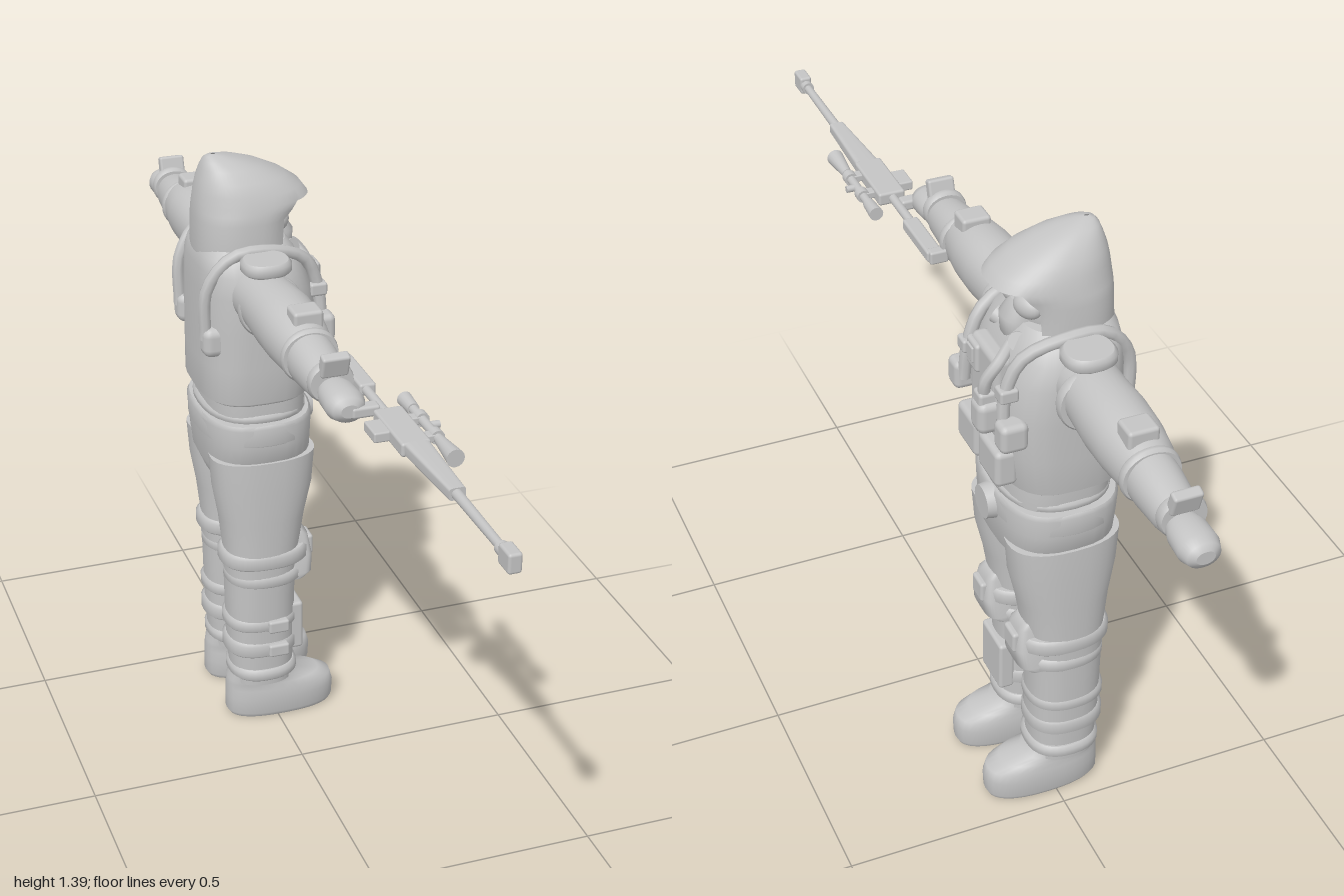
import * as THREE from 'three';
import { RoundedBoxGeometry } from 'three/addons/geometries/RoundedBoxGeometry.js';

const grey = new THREE.MeshStandardMaterial({ color: 0xc4c4c4, side: THREE.DoubleSide });
grey.name = 'light grey';

function add(parent, name, geometry, x = 0, y = 0, z = 0) {
  const mesh = new THREE.Mesh(geometry, grey);
  mesh.name = name;
  mesh.position.set(x, y, z);
  parent.add(mesh);
  return mesh;
}

// Skin over rings [height, xMin, xMax, zCentre, zHalfWidth]; hole(angle, height) leaves cells open
function loft(parent, name, rings, { power = 2.4, caps = true, hole = null, n = 32 } = {}) {
  const pos = [], index = [];
  const pt = (r, j) => {
    const a = (j / n) * Math.PI * 2, c = Math.cos(a), s = Math.sin(a), e = 2 / power;
    pos.push((r[1] + r[2]) / 2 + (r[2] - r[1]) / 2 * Math.sign(c) * Math.abs(c) ** e, r[0],
      r[3] + r[4] * Math.sign(s) * Math.abs(s) ** e);
  };
  for (const r of rings) for (let j = 0; j < n; j++) pt(r, j);
  for (let i = 0; i < rings.length - 1; i++) for (let j = 0; j < n; j++) {
    const mid = ((j + 0.5) / n) * Math.PI * 2;
    if (hole && hole(Math.min(mid, Math.PI * 2 - mid), rings[i][0])) continue;
    const a = i * n + j, b = i * n + (j + 1) % n;
    index.push(a, a + n, b, b, a + n, b + n);
  }
  if (caps) for (const [r, top] of [[rings[0], false], [rings.at(-1), true]]) {
    const base = pos.length / 3;
    for (let j = 0; j < n; j++) pt(r, j);
    pos.push((r[1] + r[2]) / 2, r[0], r[3]);
    for (let j = 0; j < n; j++) {
      const p = base + j, q = base + (j + 1) % n;
      index.push(base + n, top ? q : p, top ? p : q);
    }
  }
  const g = new THREE.BufferGeometry();
  g.setAttribute('position', new THREE.Float32BufferAttribute(pos, 3));
  g.setIndex(index);
  g.computeVertexNormals();
  return add(parent, name, g);
}

// Rounded strap around a limb or the body
function band(parent, name, y0, y1, x0, x1, cz, rz) {
  const b = 0.007;
  return loft(parent, name, [[y0, x0 + b, x1 - b, cz, rz - b], [y0 + b, x0, x1, cz, rz],
    [y1 - b, x0, x1, cz, rz], [y1, x0 + b, x1 - b, cz, rz - b]]);
}

function box(parent, name, x0, x1, y0, y1, z0, z1, r = 0.01) {
  const w = x1 - x0, h = y1 - y0, d = z1 - z0;
  return add(parent, name, new RoundedBoxGeometry(w, h, d, 2, Math.min(r, w / 2.1, h / 2.1, d / 2.1)),
    (x0 + x1) / 2, (y0 + y1) / 2, (z0 + z1) / 2);
}

function tube(parent, name, points, r) {
  const curve = new THREE.CatmullRomCurve3(points.map(p => new THREE.Vector3(...p)));
  return add(parent, name, new THREE.TubeGeometry(curve, 20, r, 8));
}

// Cylinder lying along z
function rod(parent, name, x, y, z0, z1, r0, r1 = r0) {
  const m = add(parent, name, new THREE.CylinderGeometry(r1, r0, z1 - z0, 16), x, y, (z0 + z1) / 2);
  m.rotation.x = Math.PI / 2;
  return m;
}

function ball(parent, name, x, y, z, rx, ry, rz) {
  const m = add(parent, name, new THREE.SphereGeometry(1, 24, 16), x, y, z);
  m.scale.set(rx, ry, rz);
  return m;
}

function addHead(body) {
  const opening = (a, y) => a < 0.86 && y < 1.285;
  loft(body, 'hood', [[1.13, -0.14, 0.07, 0, 0.108], [1.19, -0.145, 0.07, 0, 0.108], [1.25, -0.143, 0.075, 0, 0.104],
    [1.27, -0.142, 0.098, 0, 0.101], [1.288, -0.14, 0.114, 0, 0.096], [1.31, -0.137, 0.098, 0, 0.089],
    [1.335, -0.132, 0.062, 0, 0.076], [1.36, -0.124, 0.01, 0, 0.055], [1.375, -0.118, -0.035, 0, 0.036],
    [1.384, -0.11, -0.07, 0, 0.016], [1.387, -0.1, -0.09, 0, 0.003]], { hole: opening, caps: false, n: 48 });
  ball(body, 'face', -0.03, 1.22, 0, 0.082, 0.1, 0.08);
  loft(body, 'mask', [[1.13, 0, 0.055, 0, 0.03], [1.16, 0, 0.08, 0, 0.04], [1.2, 0, 0.083, 0, 0.04], [1.235, 0, 0.06, 0, 0.03]]);
  for (const s of [-1, 1]) {
    const eye = ball(body, 'goggle', 0.042, 1.235, s * 0.037, 0.022, 0.026, 0.034);
    eye.rotation.y = -s * 0.4;
    const filter = add(body, 'maskFilter', new THREE.CylinderGeometry(0.02, 0.02, 0.03, 20), 0.062, 1.165, s * 0.045);
    filter.rotation.set(s * 1.1, 0, -0.6);
  }
}

function addTorso(body) {
  loft(body, 'torso', [[0.84, -0.14, 0.09, 0, 0.145], [0.85, -0.152, 0.1, 0, 0.157], [0.93, -0.152, 0.112, 0, 0.157],
    [1.02, -0.152, 0.118, 0, 0.16], [1.1, -0.15, 0.105, 0, 0.158], [1.15, -0.148, 0.085, 0, 0.15],
    [1.18, -0.142, 0.07, 0, 0.13], [1.2, -0.13, 0.055, 0, 0.1]], { power: 3 });
  loft(body, 'waist', [[0.77, -0.13, 0.09, 0, 0.14], [0.8, -0.135, 0.095, 0, 0.143], [0.85, -0.135, 0.092, 0, 0.143]], { power: 2.8 });
  band(body, 'waistBelt', 0.79, 0.815, -0.142, 0.1, 0, 0.148);
  loft(body, 'hips', [[0.63, -0.125, 0.075, 0, 0.1], [0.67, -0.142, 0.103, 0, 0.155], [0.74, -0.148, 0.106, 0, 0.163],
    [0.785, -0.151, 0.108, 0, 0.165], [0.795, -0.146, 0.102, 0, 0.16]], { power: 2.8 });
  band(body, 'trouserBelt', 0.74, 0.795, -0.153, 0.11, 0, 0.167);
  const buckle = add(body, 'buckle', new THREE.CylinderGeometry(0.036, 0.04, 0.024, 28), 0.114, 0.757, -0.007);
  buckle.rotation.z = -Math.PI / 2;

  for (const s of [-1, 1]) {
    // Vest straps, shoulder pads and the pouches hanging from them
    tube(body, 'shoulderStrap', [[0.12, 1.0, s * 0.1], [0.112, 1.09, s * 0.095], [0.08, 1.16, s * 0.1], [0, 1.195, s * 0.115],
      [-0.09, 1.19, s * 0.115], [-0.145, 1.12, s * 0.105], [-0.15, 1.0, s * 0.1]], 0.014);
    band(body, 'shoulderPad', 1.17, 1.2, -0.085, 0.025, s * 0.165, 0.05);
    box(body, 'backPouch', -0.16, -0.105, 0.96, 1.03, s * 0.1 - 0.028, s * 0.1 + 0.028, 0.02);
    box(body, 'beltPouch', 0.085, 0.135, 0.86, 0.945, s * 0.055 - 0.05, s * 0.055 + 0.05, 0.013);
    box(body, 'sidePouch', 0.08, 0.14, 0.97, 1.035, s * 0.12 - 0.025, s * 0.12 + 0.025, 0.014);
    box(body, 'strapBuckle', 0.09, 0.13, 1.07, 1.1, s * 0.096 - 0.018, s * 0.096 + 0.018, 0.006);
  }
  box(body, 'chestPouch', 0.1, 0.157, 0.97, 1.045, -0.07, -0.012, 0.018);
  box(body, 'chestPouchFlap', 0.1, 0.152, 1.03, 1.065, -0.06, -0.022, 0.008);
  box(body, 'radio', 0.08, 0.13, 1.065, 1.13, 0.012, 0.066, 0.008);
  box(body, 'radioScreen', 0.127, 0.134, 1.085, 1.12, 0.024, 0.054, 0.003);
  tube(body, 'breathingHose', [[0.075, 1.15, -0.03], [0.11, 1.13, -0.055], [0.135, 1.09, -0.05], [0.135, 1.04, -0.04]], 0.013);
  box(body, 'chestPlate', 0.08, 0.122, 0.96, 1.14, -0.065, 0.065, 0.015);
}

function addArm(body, s) {
  const rings = list => list.map(([d, x0, x1, y, r]) => [d, x0, x1, -s * y, r]);
  const sleeve = (name, list) => { loft(body, name, rings(list), { power: 2.1 }).rotation.x = s * Math.PI / 2; };
  sleeve('upperArm', [[0.1, -0.1, 0.03, 1.1, 0.06], [0.16, -0.1, 0.03, 1.108, 0.062], [0.21, -0.098, 0.034, 1.107, 0.065],
    [0.29, -0.1, 0.04, 1.107, 0.071], [0.36, -0.098, 0.038, 1.104, 0.069], [0.42, -0.09, 0.03, 1.1, 0.064], [0.45, -0.08, 0.022, 1.098, 0.056]]);
  sleeve('forearm', [[0.43, -0.08, 0.024, 1.094, 0.056], [0.48, -0.08, 0.024, 1.092, 0.054], [0.55, -0.073, 0.019, 1.088, 0.046], [0.585, -0.062, 0.01, 1.085, 0.036]]);
  for (const [name, d0, d1, r] of [['shoulderBand', 0.175, 0.2, 0.07], ['elbowBand', 0.435, 0.455, 0.06], ['wristCuff', 0.56, 0.585, 0.046]])
    sleeve(name, [[d0, -0.028 - r, -0.028 + r, 1.097, r - 0.006], [d0 + 0.006, -0.03 - r, -0.026 + r, 1.097, r],
      [d1 - 0.006, -0.03 - r, -0.026 + r, 1.097, r], [d1, -0.028 - r, -0.028 + r, 1.097, r - 0.006]]);
  sleeve('hand', [[0.57, -0.055, 0.005, 1.083, 0.025], [0.605, -0.065, 0.016, 1.081, 0.033], [0.65, -0.066, 0.018, 1.079, 0.034],
    [0.672, -0.058, 0.01, 1.078, 0.027], [0.68, -0.043, -0.005, 1.078, 0.014]]);
  // Devices strapped on top of the sleeve
  box(body, 'armPocket', -0.055, 0.01, 1.14, 1.185, s * 0.4 - 0.028, s * 0.4 + 0.028, 0.008);
  const wrist = box(body, 'wristDevice', -0.055, 0.005, 1.115, 1.165, s * 0.588 - 0.012, s * 0.588 + 0.012, 0.006);
  wrist.rotation.x = s * 0.3;
}

function addLeg(body, s) {
  const c = s * 0.088;
  loft(body, 'trouserLeg', [[0.1, -0.1, 0.045, c, 0.067], [0.22, -0.108, 0.052, c, 0.071], [0.34, -0.11, 0.053, c, 0.073],
    [0.45, -0.112, 0.062, c, 0.076], [0.54, -0.122, 0.077, c, 0.077], [0.62, -0.136, 0.096, c, 0.079], [0.7, -0.142, 0.103, c, 0.077]]);
  for (const [y0, y1, x0, x1, r] of [[0.42, 0.458, -0.124, 0.085, 0.081], [0.37, 0.402, -0.112, 0.07, 0.079],
    [0.25, 0.282, -0.116, 0.056, 0.076], [0.18, 0.22, -0.116, 0.056, 0.076], [0.115, 0.145, -0.108, 0.056, 0.079]])
    band(body, 'legStrap', y0, y1, x0, x1, c, r);
  // Knee pad, wider and thicker at its lower edge
  loft(body, 'kneePad', [[0.37, 0.01, 0.07, c, 0.055], [0.385, 0.01, 0.09, c, 0.057], [0.425, 0.02, 0.093, c, 0.047],
    [0.475, 0.025, 0.084, c, 0.036], [0.488, 0.03, 0.07, c, 0.03]], { power: 4 });
  box(body, 'kneePlate', 0.08, 0.098, 0.415, 0.465, c - 0.026, c + 0.026, 0.007);
  loft(body, 'boot', [[0, -0.106, 0.144, c, 0.053], [0.012, -0.114, 0.15, c, 0.06], [0.05, -0.114, 0.152, c, 0.062],
    [0.075, -0.113, 0.145, c, 0.06], [0.09, -0.112, 0.115, c, 0.056], [0.1, -0.11, 0.065, c, 0.057], [0.14, -0.1, 0.045, c, 0.06]]);
}

// Rifle lying on its side, muzzle to +z and scope to +x
function addRifle(group) {
  const rifle = new THREE.Group();
  rifle.name = 'rifle';
  group.add(rifle);
  const y = 1.072, x = 0.052;
  box(rifle, 'buttStock', 0.03, 0.066, y - 0.013, y + 0.013, 0.12, 0.27, 0.006);
  box(rifle, 'buttPad', 0.02, 0.062, y - 0.015, y + 0.015, 0.11, 0.135, 0.005);
  rod(rifle, 'stockTube', 0.045, y, 0.25, 0.42, 0.01);
  box(rifle, 'receiver', 0.016, 0.078, y - 0.015, y + 0.015, 0.38, 0.54, 0.006);
  box(rifle, 'magazine', -0.016, 0.03, y - 0.011, y + 0.011, 0.415, 0.475, 0.004);
  box(rifle, 'grip', -0.02, 0.04, y - 0.012, y + 0.012, 0.335, 0.365, 0.006);
  loft(rifle, 'handguard', [[0.53, 0.022, 0.076, -y, 0.015], [0.73, 0.036, 0.07, -y, 0.013]], { power: 5 }).rotation.x = Math.PI / 2;
  rod(rifle, 'barrel', x, y, 0.72, 0.96, 0.011, 0.009);
  rod(rifle, 'muzzleCollar', x, y, 0.935, 0.955, 0.014);
  box(rifle, 'muzzleBrake', x - 0.014, x + 0.014, y - 0.021, y + 0.021, 0.95, 1.0, 0.006);
  for (const z of [0.42, 0.5]) {
    box(rifle, 'scopeMount', 0.07, 0.1, y - 0.008, y + 0.008, z - 0.012, z + 0.012, 0.003);
    rod(rifle, 'scopeRing', 0.103, y, z - 0.01, z + 0.01, 0.015);
  }
  rod(rifle, 'scopeTube', 0.103, y, 0.37, 0.54, 0.01);
  rod(rifle, 'scopeEyepiece', 0.103, y, 0.33, 0.38, 0.016, 0.013);
  rod(rifle, 'scopeBell', 0.103, y, 0.52, 0.6, 0.011, 0.019);
  const knob = add(rifle, 'scopeKnob', new THREE.CylinderGeometry(0.008, 0.008, 0.02, 14), 0.118, y, 0.455);
  knob.rotation.z = Math.PI / 2;
}

export function createModel() {
  const group = new THREE.Group();
  group.name = 'suitedSoldier';
  const body = new THREE.Group();
  body.name = 'figure';
  body.position.z = -0.318;
  group.add(body);
  addHead(body);
  addTorso(body);
  for (const s of [-1, 1]) {
    addArm(body, s);
    addLeg(body, s);
  }
  // Shin case with side clips on one leg only
  box(body, 'shinCase', 0.03, 0.066, 0.175, 0.3, 0.03, 0.135, 0.008);
  for (const y of [0.2, 0.265]) box(body, 'shinClip', -0.03, 0.02, y - 0.016, y + 0.016, 0.15, 0.172, 0.006);
  addRifle(group);
  return group;
}
